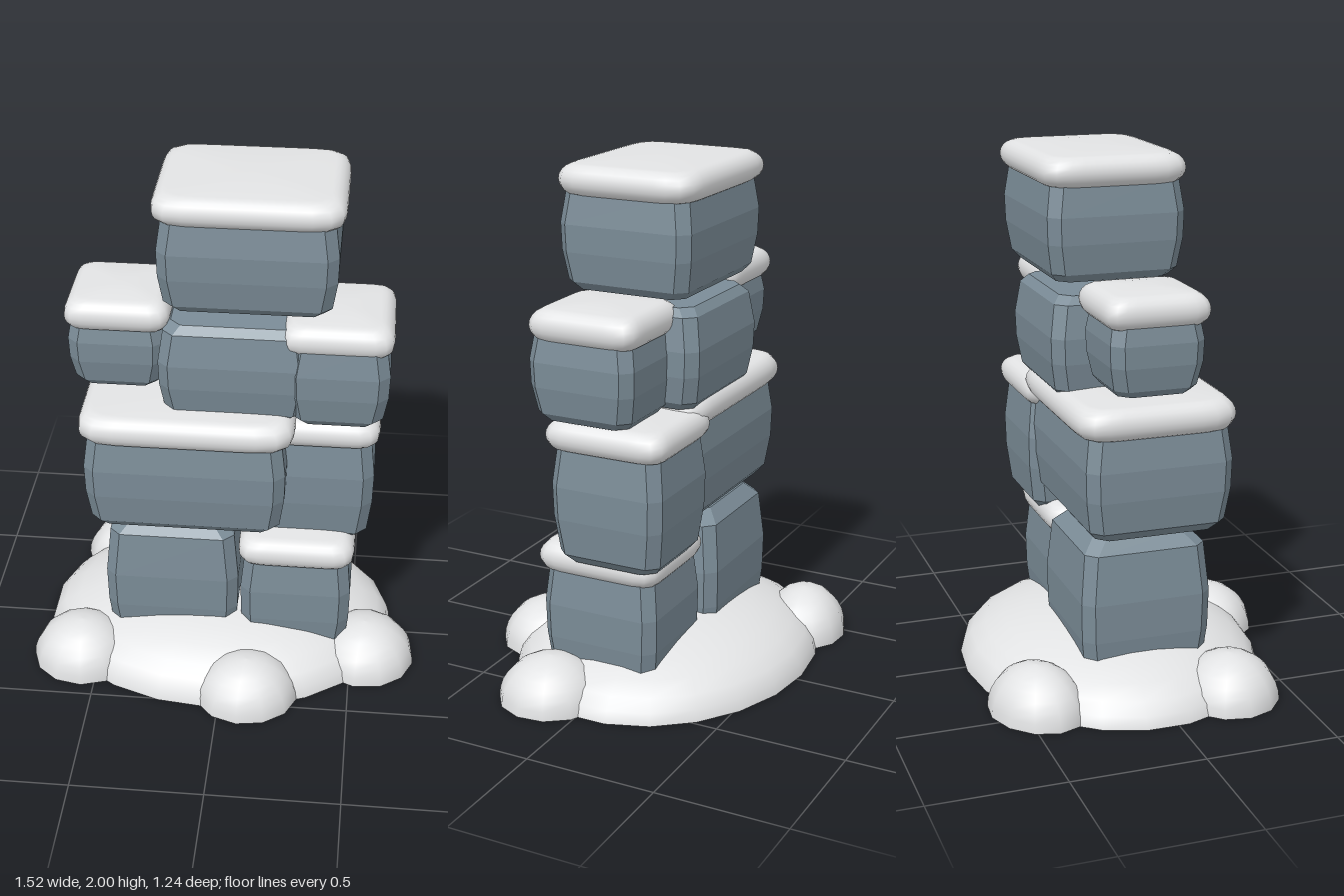
import * as THREE from 'three';

const stone = new THREE.MeshStandardMaterial({ color: 0x7b8c97, flatShading: true });
stone.name = 'slate stone';
const snow = new THREE.MeshStandardMaterial({ color: 0xe2e3e4 });
snow.name = 'snow white';

// Closed solid from stacked rings; each ring is a list of [x, y, z] points
function loft(rings) {
  const n = rings[0].length;
  const pos = rings.flat(2);
  const index = [];
  for (let r = 0; r < rings.length - 1; r++) {
    for (let i = 0; i < n; i++) {
      const a = r * n + i, b = r * n + (i + 1) % n;
      index.push(a, a + n, b, a + n, b + n, b);
    }
  }
  const last = (rings.length - 1) * n;
  const bottom = rings.length * n, top = bottom + 1;
  pos.push(0, rings[0][0][1], 0, 0, rings[rings.length - 1][0][1], 0);
  for (let i = 0; i < n; i++) {
    const j = (i + 1) % n;
    index.push(bottom, i, j, top, last + j, last + i);
  }
  const g = new THREE.BufferGeometry();
  g.setAttribute('position', new THREE.Float32BufferAttribute(pos, 3));
  g.setIndex(index);
  g.computeVertexNormals();
  return g;
}

// Superellipse outline: power 2 is an ellipse, higher is a rounded rectangle
function oval(y, hw, hd, power, count) {
  const ring = [];
  for (let i = 0; i < count; i++) {
    const a = ((i + 0.5) / count) * Math.PI * 2;
    const c = Math.cos(a), s = Math.sin(a);
    const k = (Math.abs(c) ** power + Math.abs(s) ** power) ** (-1 / power);
    ring.push([hw * c * k, y, hd * s * k]);
  }
  return ring;
}

// Rectangle with cut corners
function octagon(y, hw, hd, c) {
  return [[hw, hd - c], [hw - c, hd], [c - hw, hd], [-hw, hd - c],
    [-hw, c - hd], [c - hw, -hd], [hw - c, -hd], [hw, c - hd]].map(([x, z]) => [x, y, z]);
}

// Bevelled stone with a slight belly
function blockGeometry(w, h, d, bevel) {
  const levels = [[0, bevel + 0.015], [bevel, 0.02], [h * 0.35, 0.003], [h * 0.6, 0],
    [h - bevel, 0.018], [h, bevel + 0.015]];
  return loft(levels.map(([y, inset]) => octagon(y, w / 2 - inset, d / 2 - inset, 0.04)));
}

// Soft pillow of snow
function capGeometry(w, h, d) {
  const rings = [];
  const r = 0.055;
  rings.push(oval(0.004, (w / 2 - r) * 0.6, (d / 2 - r) * 0.6, 5, 48));
  for (let i = 0; i <= 10; i++) {
    const t = (i / 10 - 0.5) * Math.PI;
    const inset = r * (1 - Math.cos(t));
    const y = h * 0.47 * (1 + Math.sin(t));
    rings.push(oval(y, w / 2 - inset, d / 2 - inset, 9, 48));
  }
  rings.push(oval(h * 0.985, (w / 2 - r) * 0.6, (d / 2 - r) * 0.6, 5, 48));
  rings.push(oval(h, (w / 2) * 0.2, (d / 2) * 0.2, 3, 48));
  return loft(rings);
}

// Half-ellipsoid mound with a flat underside
function moundGeometry(rx, h, rz, count) {
  const rings = [oval(0, rx, rz, 2, count)];
  for (let i = 0; i < 8; i++) {
    const t = (i / 8) * Math.PI / 2;
    rings.push(oval(h * Math.sin(t), rx * Math.cos(t), rz * Math.cos(t), 2, count));
  }
  rings.push(oval(h, 0.001, 0.001, 2, count));
  return loft(rings);
}

export function createModel() {
  const model = new THREE.Group();
  const add = (name, geometry, material, x, y, z, turn = 0) => {
    const mesh = new THREE.Mesh(geometry, material);
    mesh.name = name;
    mesh.position.set(x, y, z);
    mesh.rotation.y = turn;
    model.add(mesh);
  };
  const addBox = (name, make, material, [x0, x1, y0, y1, z0, z1], bevel) =>
    add(name, make(x1 - x0, y1 - y0, z1 - z0, bevel), material, (x0 + x1) / 2, y0, (z0 + z1) / 2);

  // Stones: x, y and z ranges, bevel
  const blocks = [
    ['bottomRightStone', [-0.47, 0.05, 0.03, 0.62, -0.27, 0.23], 0.05],
    ['bottomLeftStone', [0.06, 0.49, 0.03, 0.56, -0.23, 0.24], 0.03],
    ['middleRightStone', [-0.53, 0.23, 0.64, 1.09, -0.27, 0.29], 0.035],
    ['middleLeftStone', [0.13, 0.56, 0.55, 1.05, -0.29, 0.16], 0.035],
    ['upperRightStone', [-0.59, -0.23, 1.19, 1.51, -0.2, 0.15], 0.025],
    ['upperCentreStone', [-0.25, 0.31, 1.11, 1.49, -0.31, 0.215], 0.03],
    ['upperLeftStone', [0.22, 0.6, 1.1, 1.47, -0.2, 0.22], 0.03],
    ['topStone', [-0.25, 0.4, 1.54, 1.94, -0.32, 0.2], 0.03],
  ];
  for (const [name, range, bevel] of blocks) addBox(name, blockGeometry, stone, range, bevel);

  // Snow lying on the stones
  const caps = [
    ['bottomLeftSnow', [0.05, 0.5, 0.47, 0.6, -0.24, 0.26]],
    ['middleRightSnow', [-0.55, 0.26, 1.02, 1.15, -0.3, 0.31]],
    ['middleLeftSnow', [0.12, 0.575, 0.98, 1.105, -0.305, 0.18]],
    ['upperRightSnow', [-0.6, -0.21, 1.43, 1.56, -0.22, 0.17]],
    ['upperLeftSnow', [0.2, 0.61, 1.39, 1.52, -0.215, 0.215]],
    ['topSnow', [-0.27, 0.42, 1.88, 2.0, -0.34, 0.21]],
  ];
  for (const [name, range] of caps) addBox(name, capGeometry, snow, range);

  // Snow drift around the foot
  add('snowDrift', moundGeometry(0.7, 0.23, 0.57, 22), snow, -0.04, 0, -0.04);
  add('frontSnowLump', moundGeometry(0.2, 0.175, 0.18, 12), snow, 0.105, 0, 0.435, 0.15);
  add('leftSnowLump', moundGeometry(0.2, 0.175, 0.2, 12), snow, 0.555, 0, 0.16, 0.1);
  add('rightSnowLump', moundGeometry(0.2, 0.18, 0.19, 12), snow, -0.565, 0, 0.26, -0.2);
  add('backSnowLump', moundGeometry(0.21, 0.185, 0.17, 12), snow, -0.45, 0, -0.45, 0.35);

  return model;
}
